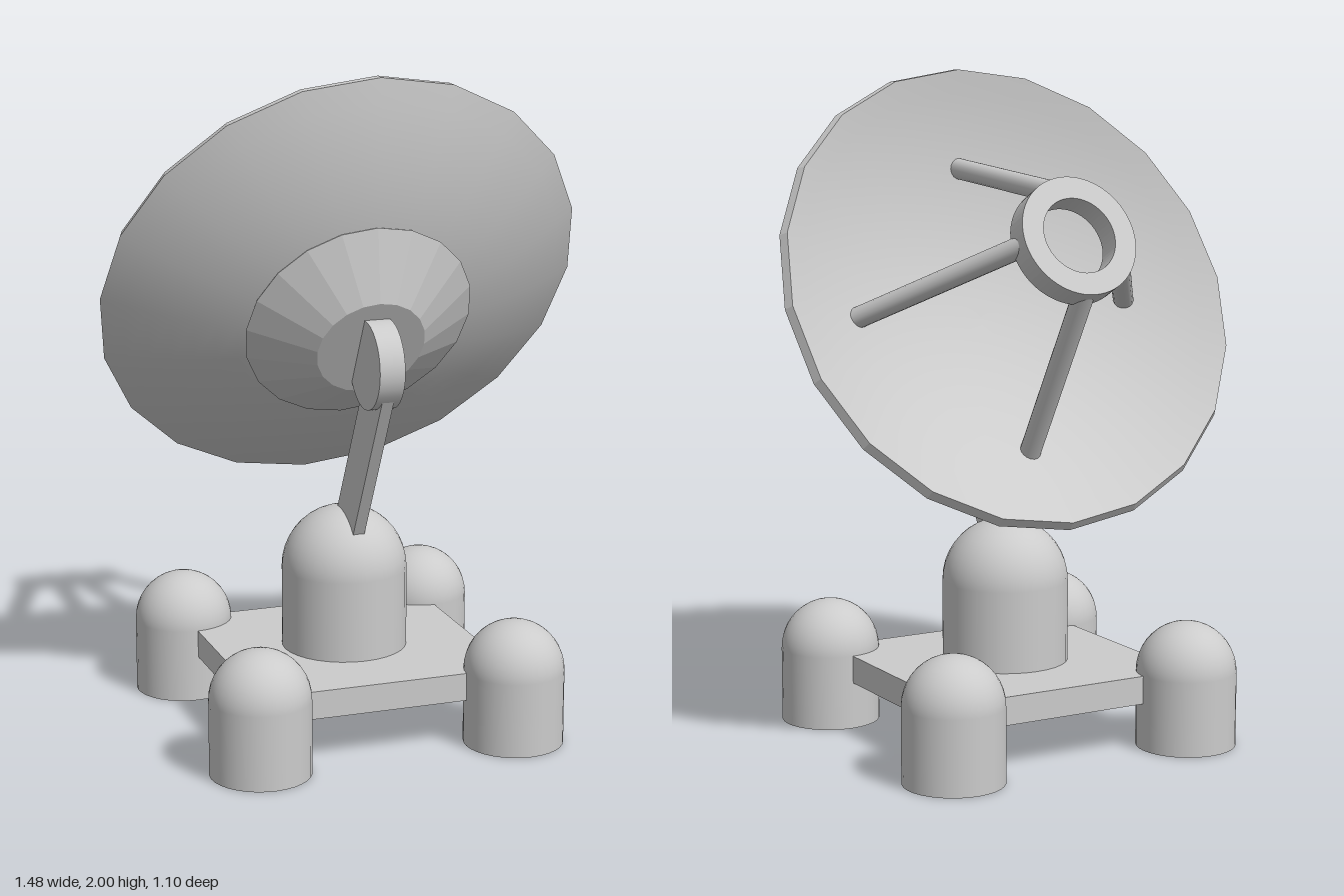
import * as THREE from 'three';

const smooth = new THREE.MeshStandardMaterial({ color: 0xcccccc, side: THREE.DoubleSide });
const faceted = new THREE.MeshStandardMaterial({ color: 0xcccccc, side: THREE.DoubleSide, flatShading: true });
const TILT = THREE.MathUtils.degToRad(62);
const SIDES = 20;

function add(parent, name, geometry, material = smooth) {
  const mesh = new THREE.Mesh(geometry, material);
  mesh.name = name;
  parent.add(mesh);
  return mesh;
}

function lathe(points, segments) {
  return new THREE.LatheGeometry(points.map(([r, y]) => new THREE.Vector2(r, y)), segments);
}

// Upright cylinder, open below, with a hemispherical cap
function domedPost(parent, name, radius, bottom, shoulder) {
  const post = new THREE.Group();
  post.name = name;
  const wall = add(post, name + 'Wall', new THREE.CylinderGeometry(radius, radius, shoulder - bottom, 32, 1, true));
  wall.position.y = (bottom + shoulder) / 2;
  const dome = add(post, name + 'Dome', new THREE.SphereGeometry(radius, 32, 10, 0, Math.PI * 2, 0, Math.PI / 2));
  dome.position.y = shoulder;
  parent.add(post);
  return post;
}

// Points of a shallow bowl from the axis out to its edge
function bowl(radius, apex, edge, steps = 12) {
  return Array.from({ length: steps + 1 }, (_, i) => {
    const t = i / steps;
    return [radius * t, apex + (edge - apex) * t * t];
  });
}

// Round bar between two points
function bar(parent, name, from, to, radius) {
  const dir = to.clone().sub(from);
  const mesh = add(parent, name, new THREE.CylinderGeometry(radius, radius, dir.length(), 16));
  mesh.position.copy(from).addScaledVector(dir, 0.5);
  mesh.quaternion.setFromUnitVectors(new THREE.Vector3(0, 1, 0), dir.normalize());
}

function createBase() {
  const base = new THREE.Group();
  base.name = 'base';
  add(base, 'basePlate', new THREE.BoxGeometry(0.79, 0.085, 0.79)).position.y = 0.185;
  for (const x of [-0.398, 0.398]) {
    for (const z of [-0.398, 0.398]) {
      domedPost(base, 'foot', 0.151, 0, 0.227).position.set(x, 0, z);
    }
  }
  domedPost(base, 'body', 0.191, 0.2, 0.474);
  return base;
}

function createArm() {
  const mount = new THREE.Group();
  mount.name = 'mount';
  const arm = add(mount, 'arm', new THREE.BoxGeometry(0.036, 0.68, 0.15));
  arm.position.set(0, 0.81, 0.155);
  arm.rotation.x = Math.PI / 2 - TILT;
  const pivot = add(mount, 'pivotDisc', new THREE.CylinderGeometry(0.132, 0.132, 0.077, 32));
  pivot.rotation.z = Math.PI / 2;
  pivot.position.set(0, 1.167, 0.287);
  return mount;
}

// Dish built facing up, then tilted back
function createDish() {
  const dish = new THREE.Group();
  dish.name = 'dish';
  add(dish, 'dishBack', lathe(bowl(0.74, -0.247, -0.015), SIDES));
  add(dish, 'dishRim', lathe([[0.74, -0.015], [0.727, 0.013]], SIDES), faceted);
  add(dish, 'dishInside', lathe(bowl(0.727, -0.215, 0.013).reverse(), SIDES));
  add(dish, 'hub', lathe([[0, -0.32], [0.165, -0.32], [0.348, -0.2], [0.34, -0.185]], SIDES), faceted);

  // Receiver ring held by four struts
  const shape = new THREE.Shape().absarc(0, 0, 0.182, 0, Math.PI * 2);
  shape.holes.push(new THREE.Path().absarc(0, 0, 0.115, 0, Math.PI * 2, true));
  const ringGeometry = new THREE.ExtrudeGeometry(shape, { depth: 0.078, bevelEnabled: false, curveSegments: 32 });
  const ring = add(dish, 'receiverRing', ringGeometry);
  ring.rotation.x = -Math.PI / 2;
  ring.position.y = 0.354;
  for (let i = 0; i < 4; i++) {
    const angle = (i * Math.PI) / 2;
    const at = (r, y) => new THREE.Vector3(r * Math.sin(angle), y, r * Math.cos(angle));
    bar(dish, 'strut', at(0.468, -0.14), at(0.155, 0.378), 0.032);
  }
  dish.rotation.x = -TILT;
  dish.position.set(0, 1.355, -0.045);
  return dish;
}

export function createModel() {
  const model = new THREE.Group();
  model.name = 'satelliteDish';
  model.add(createBase(), createArm(), createDish());
  return model;
}
